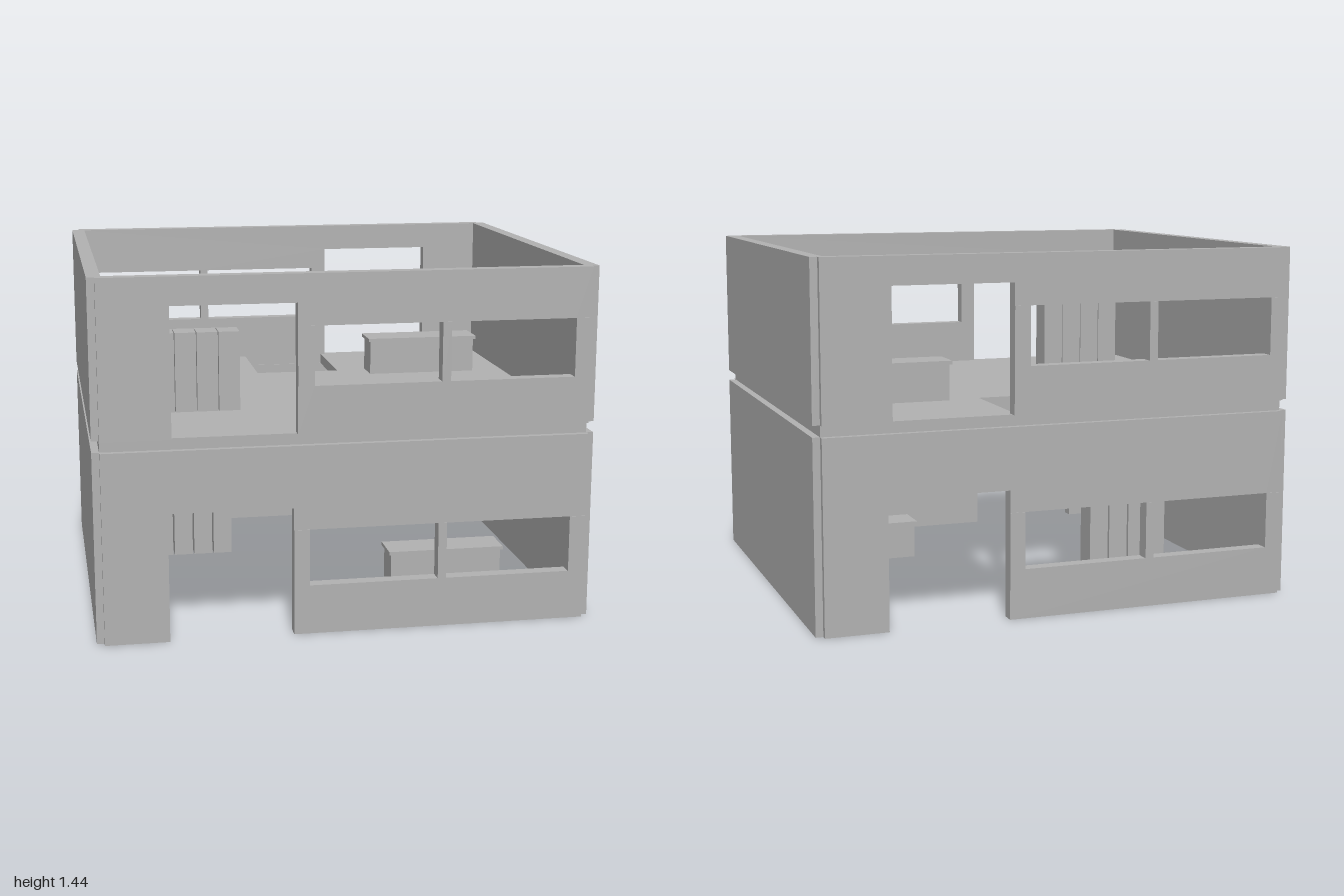
import * as THREE from 'three';

const grey = new THREE.MeshStandardMaterial({ color: 0xb2b2b2 });
grey.name = 'plain grey';

// Box given by its minimum and maximum on each axis
function box(parent, name, x0, x1, y0, y1, z0, z1) {
  const mesh = new THREE.Mesh(new THREE.BoxGeometry(x1 - x0, y1 - y0, z1 - z0), grey);
  mesh.position.set((x0 + x1) / 2, (y0 + y1) / 2, (z0 + z1) / 2);
  mesh.name = name;
  parent.add(mesh);
}

function rectangle(PathType, x0, x1, y0, y1) {
  const p = new PathType();
  p.moveTo(x0, y0);
  p.lineTo(x1, y0);
  p.lineTo(x1, y1);
  p.lineTo(x0, y1);
  p.closePath();
  return p;
}

function extrude(parent, name, shape, depth) {
  const mesh = new THREE.Mesh(new THREE.ExtrudeGeometry(shape, { depth, bevelEnabled: false }), grey);
  mesh.name = name;
  parent.add(mesh);
  return mesh;
}

// Long wall with a doorway and two windows, facing +z
function windowWall(name, s) {
  const wall = new THREE.Group();
  wall.name = name;
  const [d0, d1] = s.door;
  const shape = new THREE.Shape();
  [[-0.97, 0], [d0, 0], [d0, s.doorTop], [d1, s.doorTop], [d1, 0], [0.97, 0], [0.97, s.height], [-0.97, s.height]]
    .forEach(([x, y], i) => (i ? shape.lineTo(x, y) : shape.moveTo(x, y)));
  shape.closePath();
  const [w0, w1] = s.sill;
  for (const [x0, x1] of s.windows) shape.holes.push(rectangle(THREE.Path, x0, x1, w0, w1));
  extrude(wall, 'wallPanel', shape, 0.055).position.z = 0.805;
  // Posts beside and between the windows stand slightly proud
  const posts = [[d1, s.windows[0][0]], [s.windows[0][1], s.windows[1][0]], [s.windows[1][1], 0.97]];
  for (const [x0, x1] of posts) box(wall, 'windowPost', x0, x1, w0, w1, 0.81, 0.863);
  return wall;
}

// One open storey: two side walls, and the same long wall front and back
function storey(name, s) {
  const group = new THREE.Group();
  group.name = name;
  box(group, 'leftWall', 0.945, 1, 0, s.height, -0.835, 0.835);
  box(group, 'rightWall', -1, -0.945, 0, s.height, -0.835, 0.835);
  group.add(windowWall('frontWall', s));
  const back = windowWall('backWall', s);
  back.rotation.y = Math.PI;
  group.add(back);

  // Row of four tall lockers
  const [lx, lz] = s.lockers;
  for (let i = 0; i < 4; i++) {
    const x = lx + i * 0.09;
    box(group, 'locker', x, x + s.lockerWidth, 0, 0.33, lz, lz + 0.105);
  }

  // Low counter with a thin top
  const [cx, cz] = s.counter;
  const counter = new THREE.Group();
  counter.name = 'counter';
  box(counter, 'counterBody', cx + 0.01, cx + 0.495, 0, 0.15, cz + 0.01, cz + 0.145);
  box(counter, 'counterTop', cx, cx + 0.505, 0.15, 0.165, cz, cz + 0.155);
  group.add(counter);
  return group;
}

export function createModel() {
  const model = new THREE.Group();
  model.name = 'twoStoreyBuilding';

  model.add(storey('lowerStorey', {
    height: 0.77, door: [-0.715, -0.222], doorTop: 0.52, sill: [0.2, 0.43],
    windows: [[-0.16, 0.36], [0.395, 0.905]],
    lockers: [-0.685, -0.36], lockerWidth: 0.083, counter: [0.27, 0.23],
  }));

  // Floor slab with a stairwell opening near the back
  const slab = rectangle(THREE.Shape, -0.97, 0.97, -0.835, 0.835);
  slab.holes.push(rectangle(THREE.Path, -0.187, 0.185, 0.38, 0.81));
  const floor = extrude(model, 'floorSlab', slab, 0.045);
  floor.rotation.x = -Math.PI / 2;
  floor.position.y = 0.77;

  const upper = storey('upperStorey', {
    height: 0.627, door: [-0.695, -0.205], doorTop: 0.515, sill: [0.19, 0.425],
    windows: [[-0.14, 0.365], [0.4, 0.905]],
    lockers: [-0.725, 0.28], lockerWidth: 0.087, counter: [0.31, -0.415],
  });
  upper.position.y = 0.815;
  model.add(upper);
  return model;
}
